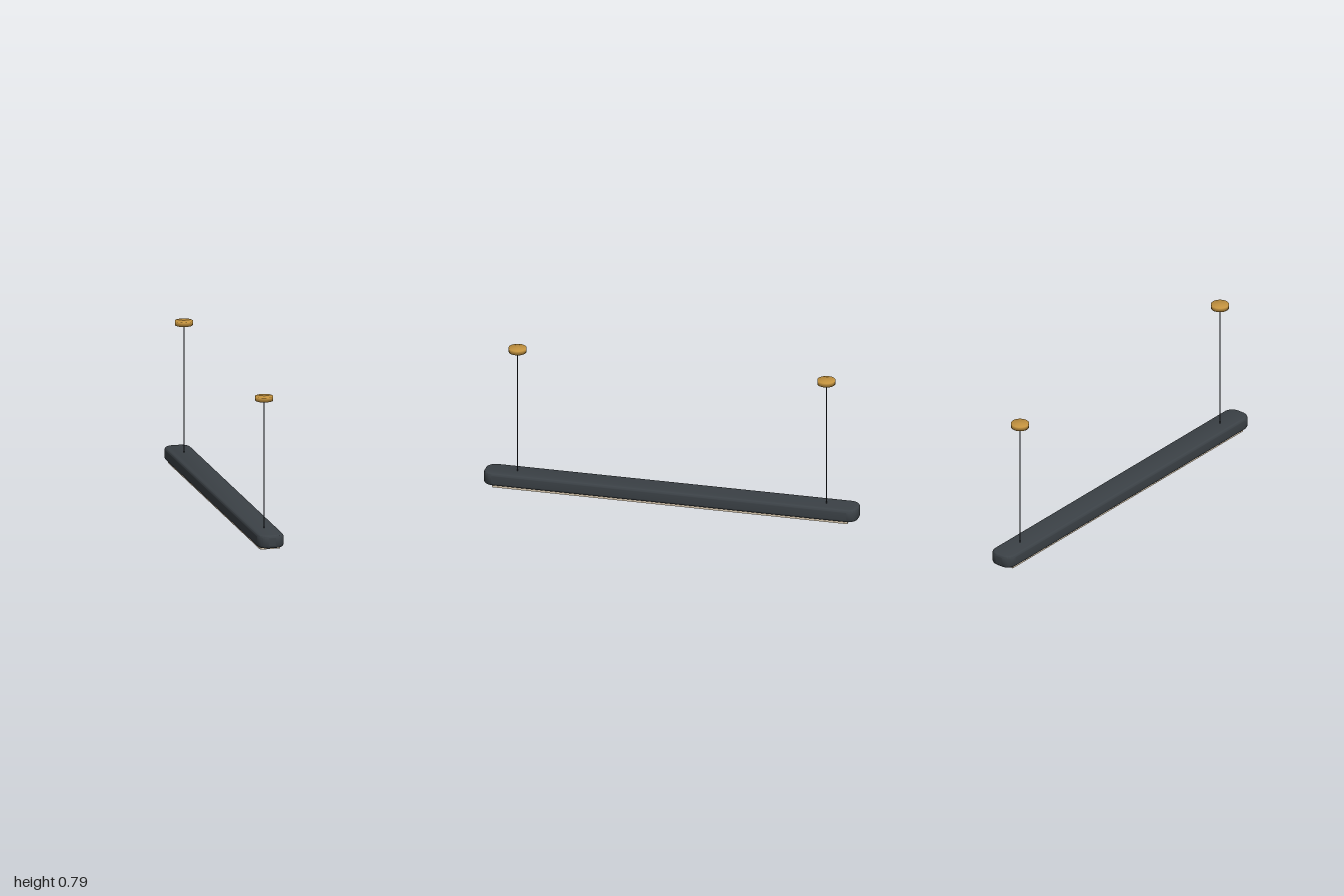
import * as THREE from 'three';
import { toCreasedNormals } from 'three/addons/utils/BufferGeometryUtils.js';

const paint = (name, color) => Object.assign(new THREE.MeshStandardMaterial({ color }), { name });

// Rectangle with rounded corners, centred on the origin
function roundedRect(hw, hl, r) {
  const s = new THREE.Shape();
  s.absarc(hw - r, hl - r, r, 0, Math.PI / 2);
  s.absarc(-hw + r, hl - r, r, Math.PI / 2, Math.PI);
  s.absarc(-hw + r, -hl + r, r, Math.PI, Math.PI * 1.5);
  s.absarc(hw - r, -hl + r, r, Math.PI * 1.5, Math.PI * 2);
  s.closePath();
  return s;
}

export function createModel() {
  const group = new THREE.Group();
  group.name = 'linearPendantLamp';
  const charcoal = paint('charcoal', 0x3b4146);
  const cableGrey = paint('cableGrey', 0x2e3238);
  const brass = paint('brass', 0xc4933f);
  const cream = paint('cream', 0xd9c9b0);

  const add = (name, geometry, material, x, y, z) => {
    const mesh = new THREE.Mesh(geometry, material);
    mesh.name = name;
    mesh.position.set(x, y, z);
    group.add(mesh);
  };

  // Long housing with rounded corners and softened edges
  const bevel = 0.014, bottom = 0.014, top = 0.083;
  const housing = new THREE.ExtrudeGeometry(roundedRect(0.07 - bevel, 1 - bevel, 0.04), {
    depth: top - bottom - 2 * bevel, bevelThickness: bevel, bevelSize: bevel,
    bevelSegments: 5, curveSegments: 8,
  });
  housing.rotateX(-Math.PI / 2);
  add('housing', toCreasedNormals(housing, 0.7), charcoal, 0, bottom + bevel, 0);

  // Light diffuser along the underside
  add('diffuser', new THREE.BoxGeometry(0.107, 0.02, 1.9), cream, 0, 0.01, 0);

  // Suspension cables and ceiling canopies, front and back
  const profile = [[0, 0], [0.047, 0], [0.047, 0.023], [0, 0.023]].map(p => new THREE.Vector2(...p));
  const canopy = new THREE.LatheGeometry(profile, 24);
  const cable = new THREE.CylinderGeometry(0.0032, 0.0032, 0.69, 10);
  for (const [side, z] of [['front', 0.825], ['back', -0.825]]) {
    add(side + 'Cable', cable, cableGrey, 0, 0.425, z);
    add(side + 'Canopy', canopy, brass, 0, 0.765, z);
  }
  return group;
}
